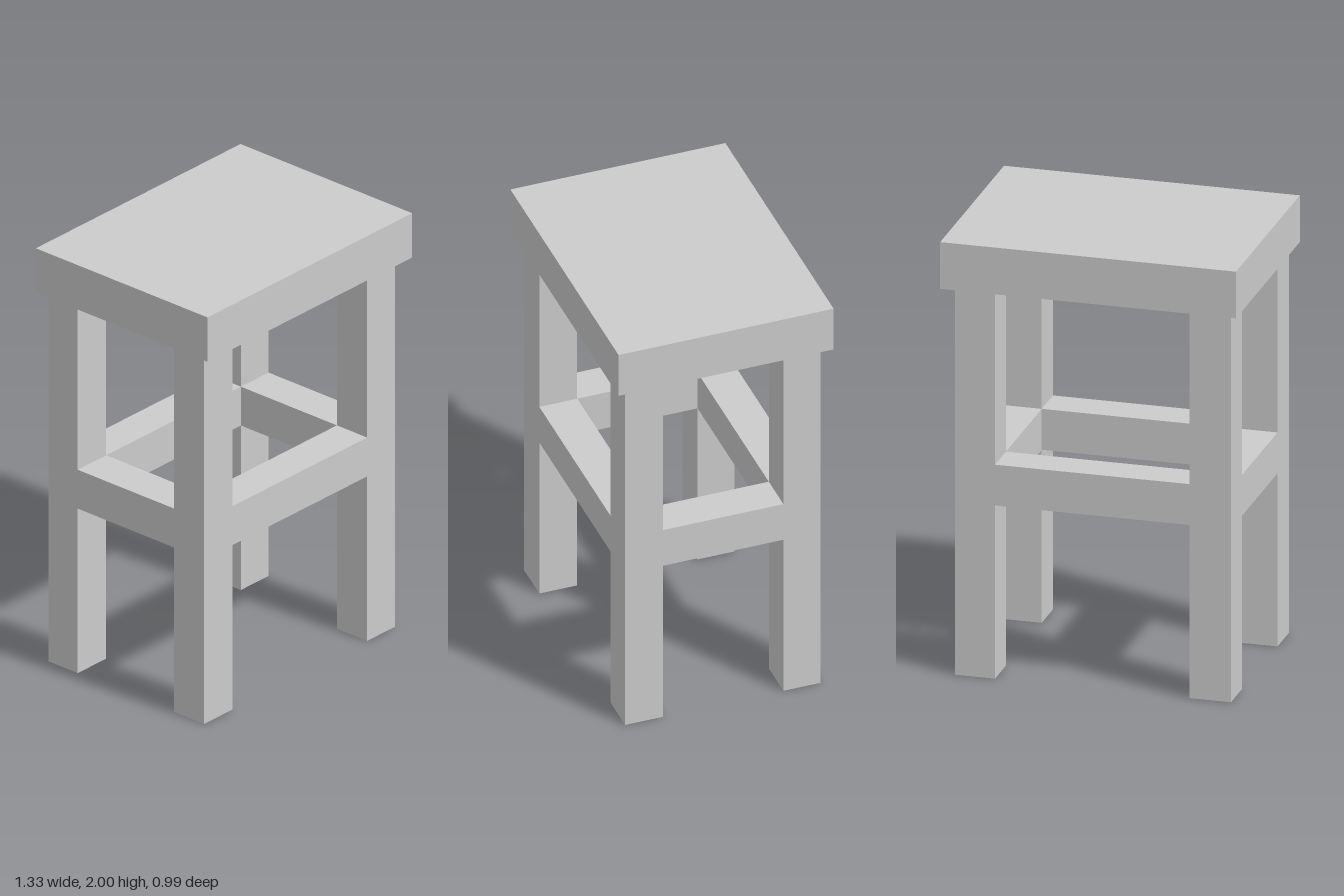
import * as THREE from 'three';

const material = new THREE.MeshStandardMaterial({ color: 0xcccccc, flatShading: true });

// Box given by its [min, max] extent along each axis
function block(name, [x0, x1], [y0, y1], [z0, z1]) {
  const geometry = new THREE.BoxGeometry(x1 - x0, y1 - y0, z1 - z0);
  const mesh = new THREE.Mesh(geometry, material);
  mesh.position.set((x0 + x1) / 2, (y0 + y1) / 2, (z0 + z1) / 2);
  mesh.name = name;
  return mesh;
}

export function createModel() {
  const stool = new THREE.Group();
  stool.name = 'stool';

  // Leg extents; the frame sits slightly off centre beneath the seat
  const sides = { right: [-0.63, -0.445], left: [0.43, 0.61] };
  const ends = { Back: [-0.455, -0.285], Front: [0.27, 0.445] };
  const seatBottom = 1.785;
  const railHeight = [0.797, 0.985];

  // Seat slab
  stool.add(block('seat', [-0.665, 0.665], [seatBottom, 2], [-0.496, 0.496]));

  // Four square legs
  for (const [side, x] of Object.entries(sides))
    for (const [end, z] of Object.entries(ends))
      stool.add(block(`${side}${end}Leg`, x, [0, seatBottom], z));

  // Rails flush with the legs, spanning the gaps between them
  for (const [end, z] of Object.entries(ends))
    stool.add(block(`${end.toLowerCase()}Rail`, [sides.right[1], sides.left[0]], railHeight, z));
  for (const [side, x] of Object.entries(sides))
    stool.add(block(`${side}Rail`, x, railHeight, [ends.Back[1], ends.Front[0]]));

  return stool;
}
